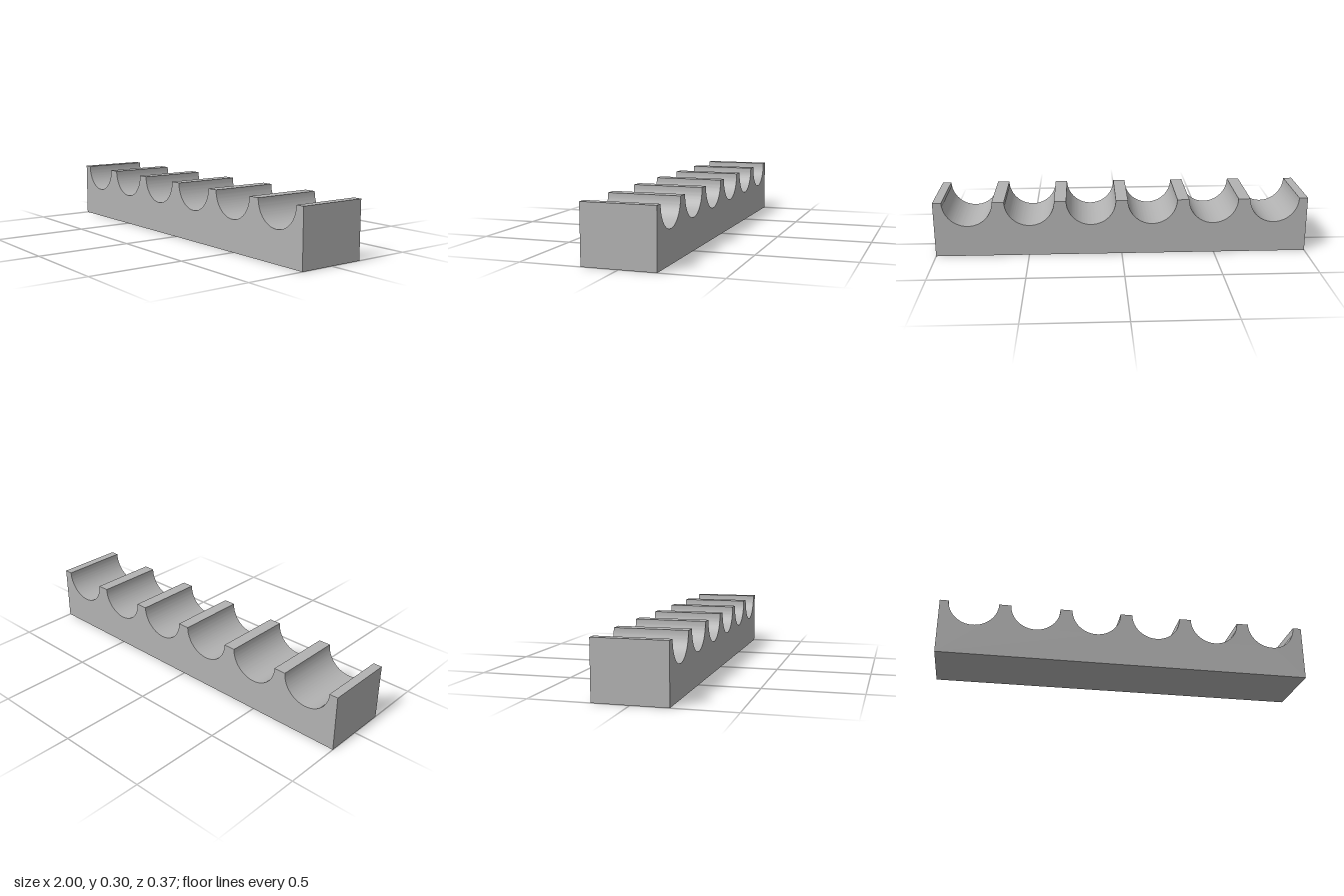
import * as THREE from 'three';
import { toCreasedNormals } from 'three/addons/utils/BufferGeometryUtils.js';

const HEIGHT = 0.3, DEPTH = 0.372;
const GROOVES = 6, PITCH = 0.3285, RADIUS = 0.132;

export function createModel() {
  const grey = new THREE.MeshStandardMaterial({ color: 0xb2b2b2 });
  grey.name = 'plain grey';

  // Side profile: a block with a row of half-round grooves along the top
  const profile = new THREE.Shape();
  profile.moveTo(-1, 0);
  profile.lineTo(1, 0);
  profile.lineTo(1, HEIGHT);
  for (let i = GROOVES - 1; i >= 0; i--) {
    const x = (i - (GROOVES - 1) / 2) * PITCH;
    profile.lineTo(x + RADIUS, HEIGHT);
    profile.absarc(x, HEIGHT, RADIUS, 0, -Math.PI, true);
  }
  profile.lineTo(-1, HEIGHT);
  profile.closePath();

  // Extrude through the depth; grooves smooth, rims sharp
  const block = new THREE.ExtrudeGeometry(profile, { depth: DEPTH, bevelEnabled: false, curveSegments: 32 });
  block.translate(0, 0, -DEPTH / 2);
  const rack = new THREE.Mesh(toCreasedNormals(block, Math.PI / 6), grey);
  rack.name = 'groovedRack';

  const model = new THREE.Group();
  model.name = 'rack';
  model.add(rack);
  return model;
}
